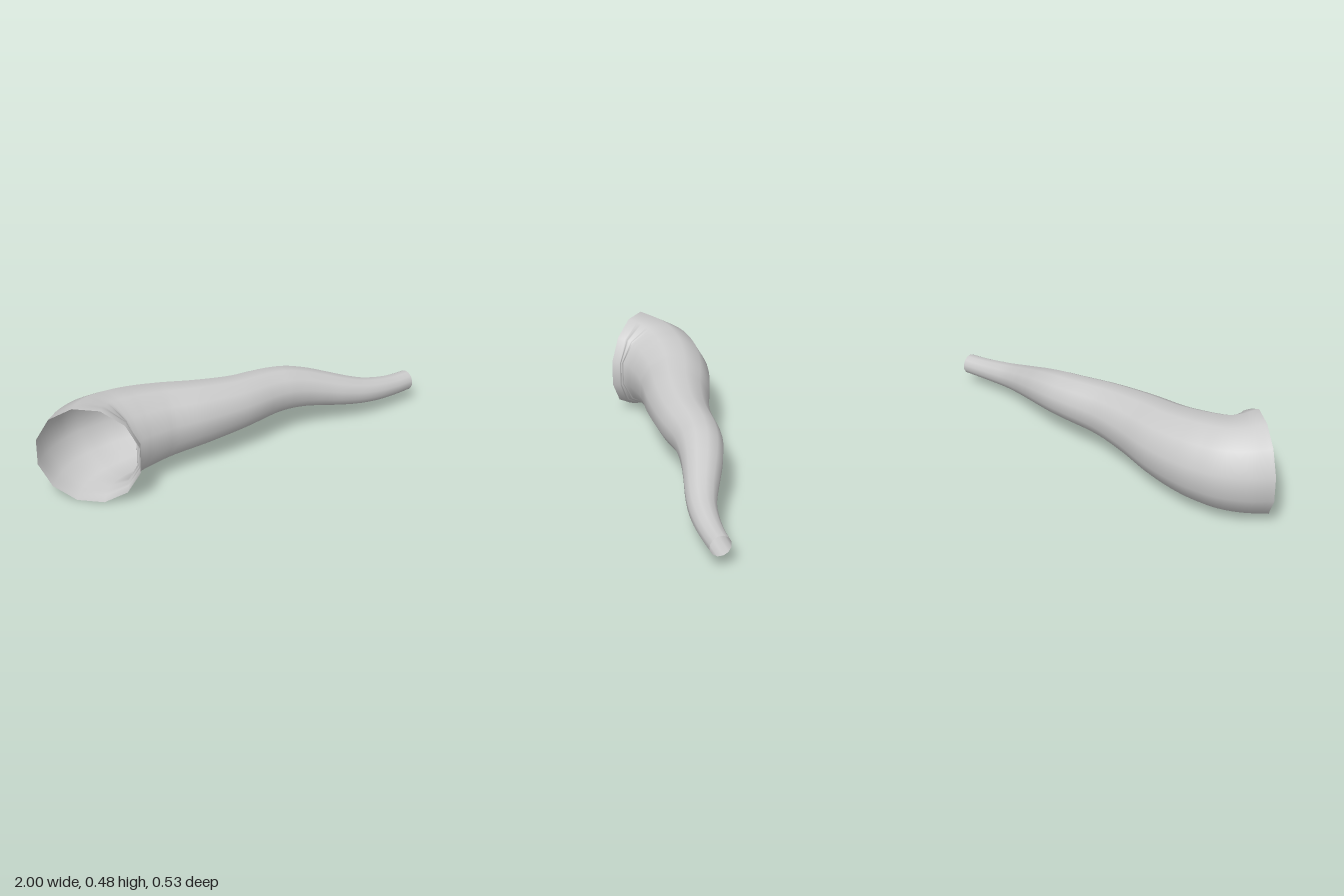
import * as THREE from 'three';
import { ParametricGeometry } from 'three/addons/geometries/ParametricGeometry.js';

// Stations along the horn, from wide mouth to narrow tip: x, y, z, radius
const STATIONS = [
  [-0.83, 0.243, 0.04, 0.25],
  [-0.78, 0.243, -0.008, 0.238],
  [-0.72, 0.243, -0.042, 0.227],
  [-0.65, 0.243, -0.057, 0.217],
  [-0.55, 0.243, -0.06, 0.206],
  [-0.4, 0.243, -0.043, 0.186],
  [-0.2, 0.244, 0.007, 0.16],
  [0, 0.244, 0.04, 0.136],
  [0.2, 0.242, 0.046, 0.119],
  [0.3, 0.235, 0.059, 0.111],
  [0.4, 0.218, 0.085, 0.1],
  [0.5, 0.193, 0.12, 0.088],
  [0.6, 0.166, 0.157, 0.077],
  [0.7, 0.143, 0.186, 0.067],
  [0.8, 0.128, 0.201, 0.06],
  [0.9, 0.119, 0.207, 0.054],
  [1, 0.116, 0.208, 0.051],
];
const SIDES = 12;
const RINGS = 64;

export function createModel() {
  const path = new THREE.CatmullRomCurve3(STATIONS.map(([x, y, z]) => new THREE.Vector3(x, y, z)));
  const radius = new THREE.SplineCurve(STATIONS.map((s, i) => new THREE.Vector2(i, s[3])));
  const up = new THREE.Vector3(0, 1, 0);

  // Sweep a tapering twelve-sided ring along the path; flats face up, down and sideways
  const sweep = (u, v, target) => {
    const tangent = path.getTangent(v);
    const side = new THREE.Vector3().crossVectors(up, tangent).normalize();
    const rise = new THREE.Vector3().crossVectors(tangent, side);
    const angle = (u + 0.5 / SIDES) * Math.PI * 2;
    const r = radius.getPoint(v).y;
    target.copy(path.getPoint(v))
      .addScaledVector(side, r * Math.cos(angle))
      .addScaledVector(rise, r * Math.sin(angle));
  };

  // Thin shell, open at both ends
  const horn = new THREE.Mesh(
    new ParametricGeometry(sweep, SIDES, RINGS),
    new THREE.MeshStandardMaterial({ color: 0xcccccc, side: THREE.DoubleSide })
  );
  horn.name = 'hornTube';

  const group = new THREE.Group();
  group.name = 'curvedHorn';
  group.add(horn);
  return group;
}
